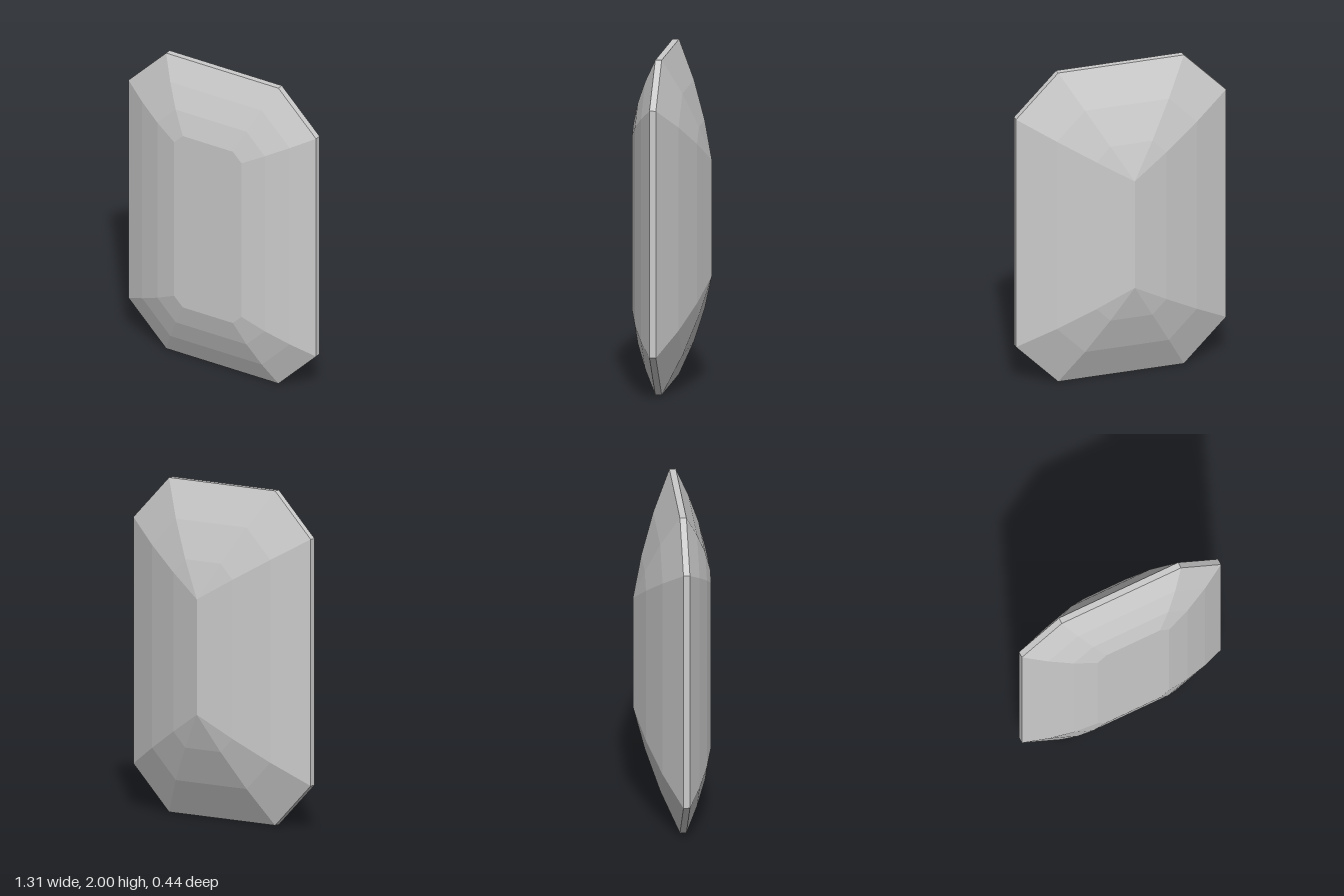
import * as THREE from 'three';

const lerp = THREE.MathUtils.lerp;

// Cut-corner rectangle, counter-clockwise from the front.
// w, h: half width and height; cx, cy: where the corner cut meets the edges.
function ring([w, h, cx, cy], z) {
  return [[w, -cy], [w, cy], [cx, h], [-cx, h], [-w, cy], [-w, -cy], [-cx, -h], [cx, -h]]
    .map(([x, y]) => new THREE.Vector3(x, y + 1, z));
}

// Evenly stepped rings from one outline to another, one per depth.
function steps(from, to, depths) {
  return depths.map((z, i) =>
    ring(from.map((v, k) => lerp(v, to[k], i / (depths.length - 1))), z));
}

function facets(name, triangles) {
  const points = triangles
    .filter(([a, b, c]) => new THREE.Triangle(a, b, c).getArea() > 1e-7)
    .flat();
  const geometry = new THREE.BufferGeometry().setFromPoints(points);
  geometry.computeVertexNormals();
  const mesh = new THREE.Mesh(geometry,
    new THREE.MeshStandardMaterial({ color: 0xcccccc, flatShading: true }));
  mesh.name = name;
  return mesh;
}

// Facets joining rings ordered from back to front.
function bands(name, rings) {
  const triangles = [];
  for (let r = 0; r < rings.length - 1; r++) {
    const a = rings[r], b = rings[r + 1];
    for (let i = 0; i < 8; i++) {
      const j = (i + 1) % 8;
      triangles.push([a[i], a[j], b[j]], [a[i], b[j], b[i]]);
    }
  }
  return facets(name, triangles);
}

export function createModel() {
  const group = new THREE.Group();
  group.name = 'stepCutGem';

  const rim = [0.655, 1, 0.392, 0.737];
  const tableOutline = [0.235, 0.58, 0.175, 0.52];
  const ridge = [0, 0.345, 0, 0.345];

  const crown = steps(rim, tableOutline, [0.063, 0.132, 0.186, 0.222]);
  const pavilion = steps(rim, ridge, [0.025, -0.081, -0.162, -0.222]).reverse();

  // Stepped front facets
  group.add(bands('crown', crown));

  // Flat front face
  const t = crown[3];
  group.add(facets('table', [1, 2, 3, 4, 5, 6].map(i => [t[0], t[i], t[i + 1]])));

  // Thin edge band
  group.add(bands('girdle', [pavilion[3], crown[0]]));

  // Stepped back facets meeting in a vertical ridge
  group.add(bands('pavilion', pavilion));

  return group;
}
